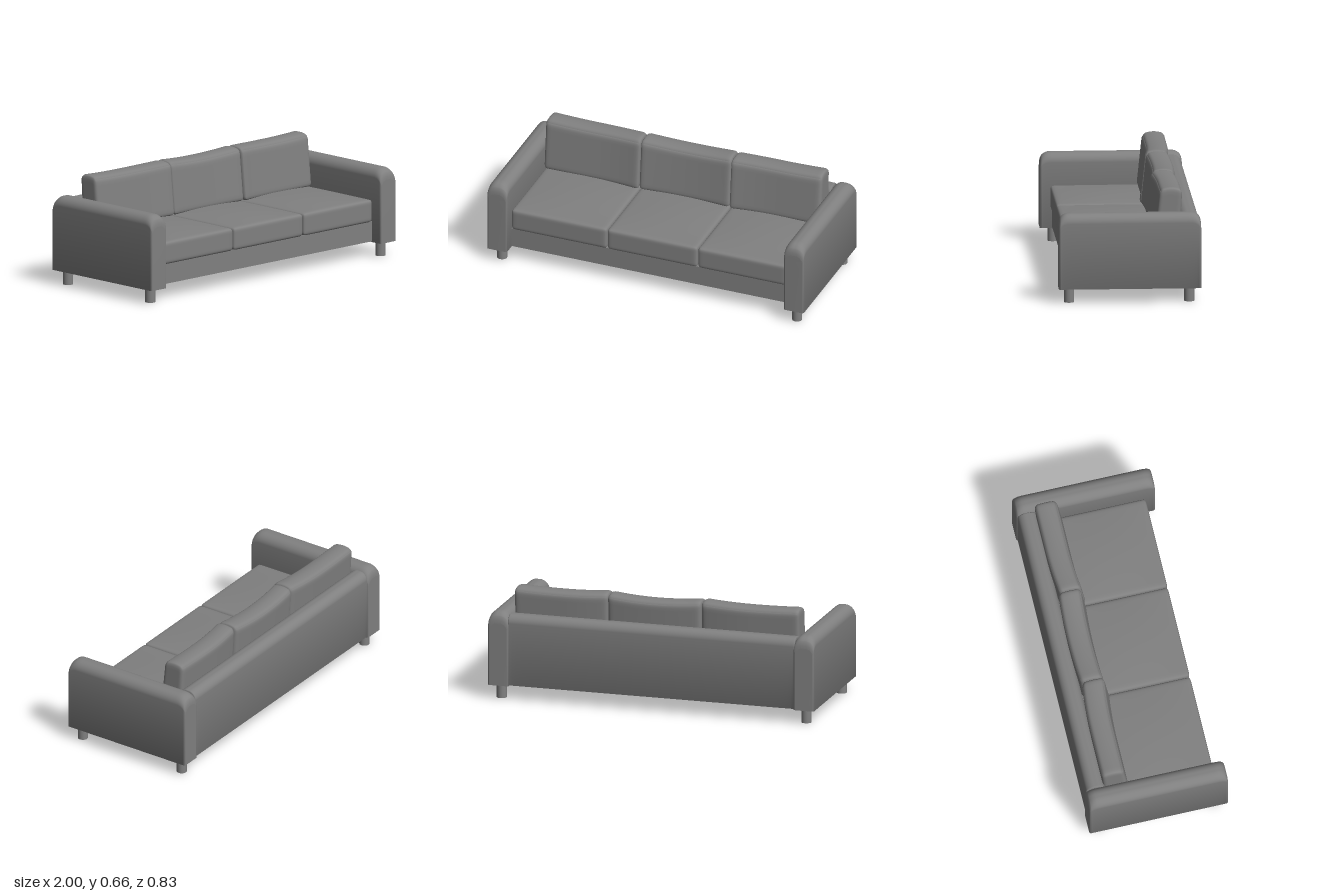
import * as THREE from 'three';
import { mergeVertices } from 'three/addons/utils/BufferGeometryUtils.js';

const material = new THREE.MeshStandardMaterial({ color: 0x808080 });

function addMesh(parent, name, geometry) {
  const mesh = new THREE.Mesh(geometry, material);
  mesh.name = name;
  parent.add(mesh);
  return mesh;
}

// Joins the vertices, moves each by a rule and shades the result smoothly
function shapeSmooth(geometry, rule) {
  geometry.deleteAttribute('uv');
  geometry.deleteAttribute('normal');
  const geo = mergeVertices(geometry, 1e-5);
  const pos = geo.attributes.position;
  const v = new THREE.Vector3();
  for (let i = 0; i < pos.count; i++) {
    v.fromBufferAttribute(pos, i);
    rule(v);
    pos.setXYZ(i, v.x, v.y, v.z);
  }
  geo.computeVertexNormals();
  return geo;
}

// Padded block: grid crowded towards the edges, edges rounded, then shaped by a rule
function cushion(w, h, d, r, rule) {
  const half = new THREE.Vector3(w / 2, h / 2, d / 2);
  const core = half.clone().subScalar(r);
  const inner = new THREE.Vector3();
  return shapeSmooth(new THREE.BoxGeometry(2, 2, 2, 24, 16, 24), (v) => {
    const unit = new THREE.Vector3(...v.toArray().map((t) => Math.sin(t * Math.PI / 2)));
    v.copy(unit).multiply(half);
    inner.copy(v).clamp(core.clone().negate(), core);
    v.sub(inner).setLength(r).add(inner);
    rule(v, unit);
  });
}

// Upright slab with rounded top and flat bottom, running along z
function slab(width, bottom, top, length, round, bevel, endRadius) {
  const x = width / 2 - bevel;
  const y0 = bottom + bevel;
  const y1 = top - bevel;
  const shape = new THREE.Shape();
  shape.moveTo(-x, y0);
  shape.lineTo(x, y0);
  shape.lineTo(x, y1 - round);
  shape.absarc(x - round, y1 - round, round, 0, Math.PI / 2);
  shape.absarc(-x + round, y1 - round, round, Math.PI / 2, Math.PI);
  shape.closePath();
  const depth = length - 2 * bevel;
  const geo = new THREE.ExtrudeGeometry(shape, {
    depth, steps: 28, curveSegments: 12,
    bevelEnabled: true, bevelSize: bevel, bevelThickness: bevel, bevelSegments: 3,
  });
  return shapeSmooth(geo, (v) => {
    if (v.y < y0 + 0.001) v.y = bottom;
    v.z -= depth / 2;
    const t = v.z / (depth / 2);
    if (Math.abs(t) < 1) v.z = Math.sin(t * Math.PI / 2) * depth / 2;
    // Top line curves down at both ends
    const q = Math.min(endRadius, Math.max(0, Math.abs(v.z) - (length / 2 - endRadius)));
    const drop = endRadius - Math.sqrt(endRadius * endRadius - q * q);
    v.y -= drop * (v.y - bottom) / (top - bottom);
  });
}

export function createModel() {
  const sofa = new THREE.Group();
  sofa.name = 'sofa';

  // Arms and legs
  for (const side of [1, -1]) {
    const label = side > 0 ? 'left' : 'right';
    const arm = addMesh(sofa, label + 'Arm', slab(0.125, 0.085, 0.53, 0.835, 0.045, 0.01, 0.058));
    arm.position.x = side * 0.9375;
    for (const z of [side > 0 ? 0.355 : 0.34, -0.35]) {
      const leg = addMesh(sofa, label + (z > 0 ? 'FrontLeg' : 'BackLeg'),
        new THREE.CylinderGeometry(0.03, 0.03, 0.095, 24));
      leg.position.set(side * 0.935, 0.0475, z);
    }
  }

  // Base and back panel
  const base = addMesh(sofa, 'base', new THREE.BoxGeometry(1.76, 0.12, 0.7));
  base.position.set(0, 0.15, -0.005);
  const back = addMesh(sofa, 'back', slab(0.115, 0.09, 0.515, 1.76, 0.045, 0.005, 0.005));
  back.rotation.y = Math.PI / 2;
  back.position.z = -0.3525;

  // Three seat and back cushions
  const edges = [-0.874, -0.268, 0.304, 0.872];
  const names = ['right', 'middle', 'left'];
  for (let i = 0; i < 3; i++) {
    const width = edges[i + 1] - edges[i] - 0.004;
    const centre = (edges[i] + edges[i + 1]) / 2;

    const seat = addMesh(sofa, names[i] + 'SeatCushion', cushion(width, 0.135, 0.66, 0.02, (v, u) => {
      // Gently crowned top
      if (v.y > 0) v.y += 0.015 * (1 - u.x * u.x) * (1 - u.z * u.z) * v.y / 0.0675;
    }));
    seat.position.set(centre, 0.275, 0.028);

    const pillow = addMesh(sofa, names[i] + 'BackCushion', cushion(width + 0.004, 0.32, 0.142, 0.025, (v, u) => {
      const up = (u.y + 1) / 2;
      const sag = i === 1 ? 0.015 : 0.008;
      // Crowned rim across the thickness, sagging along the width
      v.y -= up * (sag * (1 - u.x * u.x) + 0.015 * u.z * u.z);
      // Lean back, thinner towards the top
      v.z *= 1.05 - 0.1 * up;
      v.z -= 0.025 * up;
      // Ends beside a neighbour curl forward
      const curl = i === 1 ? Math.abs(u.x) : Math.max(0, i === 0 ? u.x : -u.x);
      v.z += (i === 1 ? 0.013 : 0.02) * curl * curl;
    }));
    pillow.position.set(centre, 0.502, -0.222);
  }
  return sofa;
}
